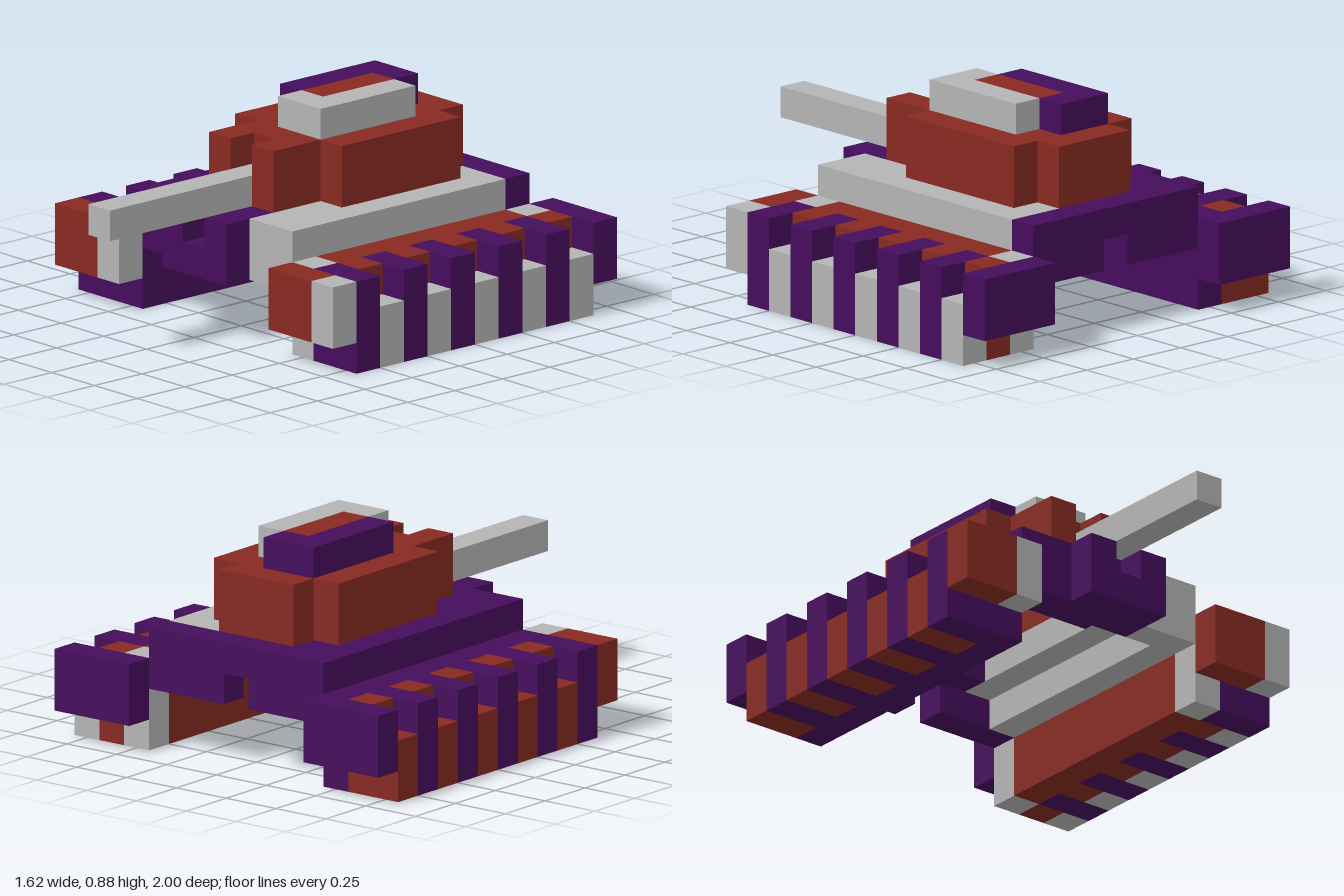
import * as THREE from 'three';

const U = 0.125; // size of one block

export function createModel() {
  const model = new THREE.Group();
  const purple = new THREE.MeshStandardMaterial({ color: 0x460d5c });
  const red = new THREE.MeshStandardMaterial({ color: 0x872a22 });
  const gray = new THREE.MeshStandardMaterial({ color: 0xb4b4b4 });
  purple.name = 'purple';
  red.name = 'rust red';
  gray.name = 'light gray';

  const part = (name) => {
    const g = new THREE.Group();
    g.name = name;
    model.add(g);
    return g;
  };
  // Box between block coordinates [x0,x1], [y0,y1], [z0,z1]
  const box = (group, name, mat, x0, x1, y0, y1, z0, z1) => {
    const mesh = new THREE.Mesh(new THREE.BoxGeometry((x1 - x0) * U, (y1 - y0) * U, (z1 - z0) * U), mat);
    mesh.position.set((x0 + x1) * U / 2, (y0 + y1) * U / 2, (z0 + z1) * U / 2);
    mesh.name = name;
    group.add(mesh);
  };

  // Hull: roof plates around the turret opening, walls below, open floor
  const hull = part('hull');
  box(hull, 'roofRight', purple, -3.5, -1.5, 3, 4, -6, 3);
  box(hull, 'roofFront', purple, -1.5, 1.5, 3, 4, 0, 3);
  box(hull, 'roofBack', purple, -1.5, 1.5, 3, 4, -6, -5);
  box(hull, 'roofLeft', gray, 1.5, 3.5, 3, 4, -6, 3);
  box(hull, 'roofRear', purple, -3.5, 3.5, 3, 4, -7, -6);
  box(hull, 'wallRight', purple, -3.5, -2.5, 2, 3, -6, 2);
  box(hull, 'wallLeft', gray, 2.5, 3.5, 2, 3, -6, 2);
  box(hull, 'wallFront', purple, -3.5, 1.5, 2, 3, 2, 3);
  box(hull, 'wallFrontLeft', gray, 1.5, 3.5, 2, 3, 2, 3);
  box(hull, 'wallRearRight', purple, -3.5, -0.5, 2, 3, -7, -6);
  box(hull, 'wallRearLeft', purple, 0.5, 3.5, 2, 3, -7, -6);

  // Nose with a notch under the gun
  const nose = part('nose');
  box(nose, 'noseBase', purple, -1.5, 1.5, 2, 3, 3, 4);
  for (const s of [-1, 1]) box(nose, 'noseCheek', purple, s - 0.5, s + 0.5, 3, 4, 3, 4);

  // Hollow turret with a slot for the gun
  const turret = part('turret');
  for (const s of [-2, 2]) box(turret, 'turretSide', red, s - 0.5, s + 0.5, 4, 6, -5, 0);
  box(turret, 'turretRoof', red, -1.5, 1.5, 5, 6, -5, 0);
  box(turret, 'turretRear', red, -1.5, 1.5, 4, 6, -6, -5);
  box(turret, 'turretFront', red, -1.5, 1.5, 4, 6, 0, 1);
  for (const s of [-1, 1]) box(turret, 'gunCheek', red, s - 0.5, s + 0.5, 4, 6, 1, 2);
  box(part('gun'), 'gunBarrel', gray, -0.5, 0.5, 4, 5, 1, 8);

  // Hatch
  const hatch = part('hatch');
  box(hatch, 'hatchRight', purple, -1.5, -0.5, 6, 7, -5, -1);
  box(hatch, 'hatchRear', purple, -0.5, 0.5, 6, 7, -5, -4);
  box(hatch, 'hatchCentre', red, -0.5, 0.5, 6, 7, -4, -1);
  box(hatch, 'hatchFront', gray, -0.5, 0.5, 6, 7, -1, 0);
  box(hatch, 'hatchLeft', gray, 0.5, 1.5, 6, 7, -4, 0);

  // Left track: inner rail, then alternating cleats and lower gaps
  const left = part('leftTrack');
  box(left, 'innerRail', red, 3.5, 4.5, 0, 3, -6, 2);
  box(left, 'railEndFront', gray, 3.5, 4.5, 0, 3, 2, 3);
  box(left, 'railEndRear', gray, 3.5, 4.5, 0, 3, -7, -6);
  for (let z = -6; z <= 2; z += 2) box(left, 'cleat', purple, 4.5, 6.5, 0, 3, z, z + 1);
  for (let z = -7; z <= 1; z += 2) {
    box(left, 'wheelCore', red, 4.5, 5.5, 0, 3, z, z + 1);
    box(left, 'wheel', gray, 5.5, 6.5, 0, 2, z, z + 1);
  }

  // Right track
  const right = part('rightTrack');
  box(right, 'innerRail', purple, -4.5, -3.5, 0, 3, -7, 3);
  for (let z = -6; z <= 2; z += 2) box(right, 'cleat', purple, -6.5, -4.5, 0, 3, z, z + 1);
  for (let z = -7; z <= 1; z += 2) {
    box(right, 'wheelCore', red, -5.5, -4.5, 0, 3, z, z + 1);
    box(right, 'wheel', red, -6.5, -5.5, 0, 2, z, z + 1);
  }

  // Raised end caps of both tracks
  for (const [g, x] of [[left, 3.5], [right, -6.5]]) {
    box(g, 'frontCap', red, x, x + 2, 1, 3, 3, 4);
    box(g, 'frontCapEdge', gray, x + 2, x + 3, 1, 3, 3, 4);
    box(g, 'rearCap', purple, x, x + 3, 1, 3, -8, -7);
  }
  return model;
}
